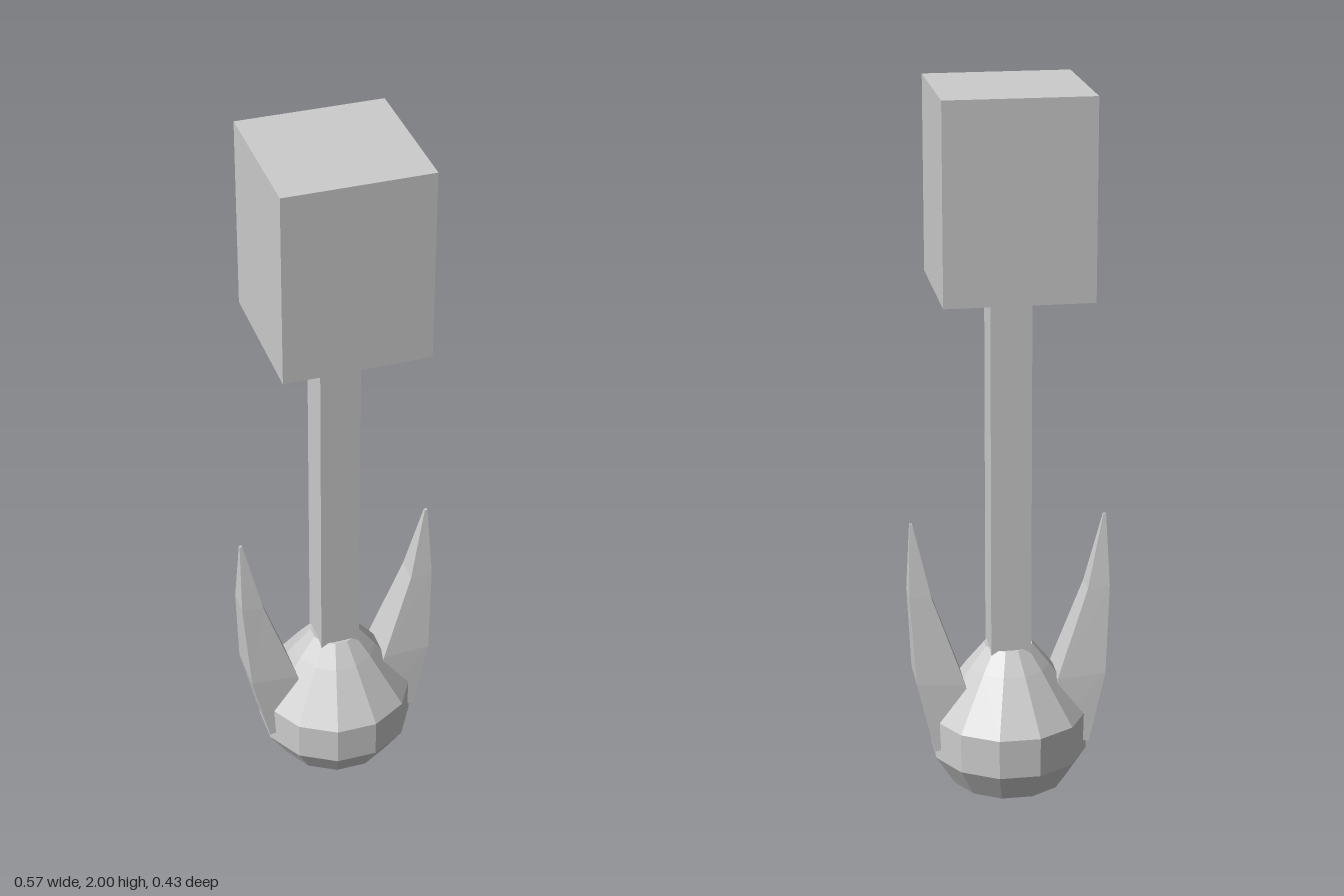
import * as THREE from 'three';

const grey = new THREE.MeshStandardMaterial({ color: 0xcccccc, flatShading: true });
grey.name = 'plain grey';

function add(parent, name, geometry, x = 0, y = 0, z = 0) {
  const mesh = new THREE.Mesh(geometry, grey);
  mesh.name = name;
  mesh.position.set(x, y, z);
  parent.add(mesh);
  return mesh;
}

// Tapering blade skinned over four-cornered sections: [outer x, outer y, inner x, inner y, half width]
function clawGeometry() {
  const sections = [
    [0.222, 0.12, 0.1, 0.14, 0.078],
    [0.27, 0.325, 0.132, 0.315, 0.067],
    [0.285, 0.58, 0.222, 0.572, 0.036],
    [0.278, 0.785, 0.27, 0.785, 0.004],
  ];
  const positions = [];
  const index = [];
  for (const [ox, oy, ix, iy, w] of sections) {
    positions.push(ox, oy, w, ox, oy, -w, ix, iy, -w, ix, iy, w);
  }
  for (let s = 0; s < sections.length - 1; s++) {
    for (let k = 0; k < 4; k++) {
      const a = s * 4 + k, b = s * 4 + ((k + 1) % 4);
      index.push(a, b, b + 4, a, b + 4, a + 4);
    }
  }
  const t = (sections.length - 1) * 4;
  index.push(0, 3, 2, 0, 2, 1, t, t + 1, t + 2, t, t + 2, t + 3);
  const geometry = new THREE.BufferGeometry();
  geometry.setAttribute('position', new THREE.Float32BufferAttribute(positions, 3));
  geometry.setIndex(index);
  geometry.computeVertexNormals();
  return geometry;
}

export function createModel() {
  const model = new THREE.Group();
  model.name = 'clawedMace';

  // Twelve-sided bulb with flats facing the axes
  const profile = [[0, 0], [0.168, 0], [0.224, 0.09], [0.224, 0.205], [0.118, 0.35], [0.069, 0.41], [0, 0.4]]
    .map(([r, y]) => new THREE.Vector2(r, y));
  add(model, 'bulb', new THREE.LatheGeometry(profile, 12, Math.PI / 12));

  // Square shaft and block head
  add(model, 'shaft', new THREE.BoxGeometry(0.114, 1.08, 0.114), 0, 0.92, 0);
  add(model, 'head', new THREE.BoxGeometry(0.406, 0.545, 0.406), 0, 1.7275, 0);

  // Pair of claws
  const claw = clawGeometry();
  add(model, 'leftClaw', claw);
  add(model, 'rightClaw', claw).rotation.y = Math.PI;

  return model;
}
